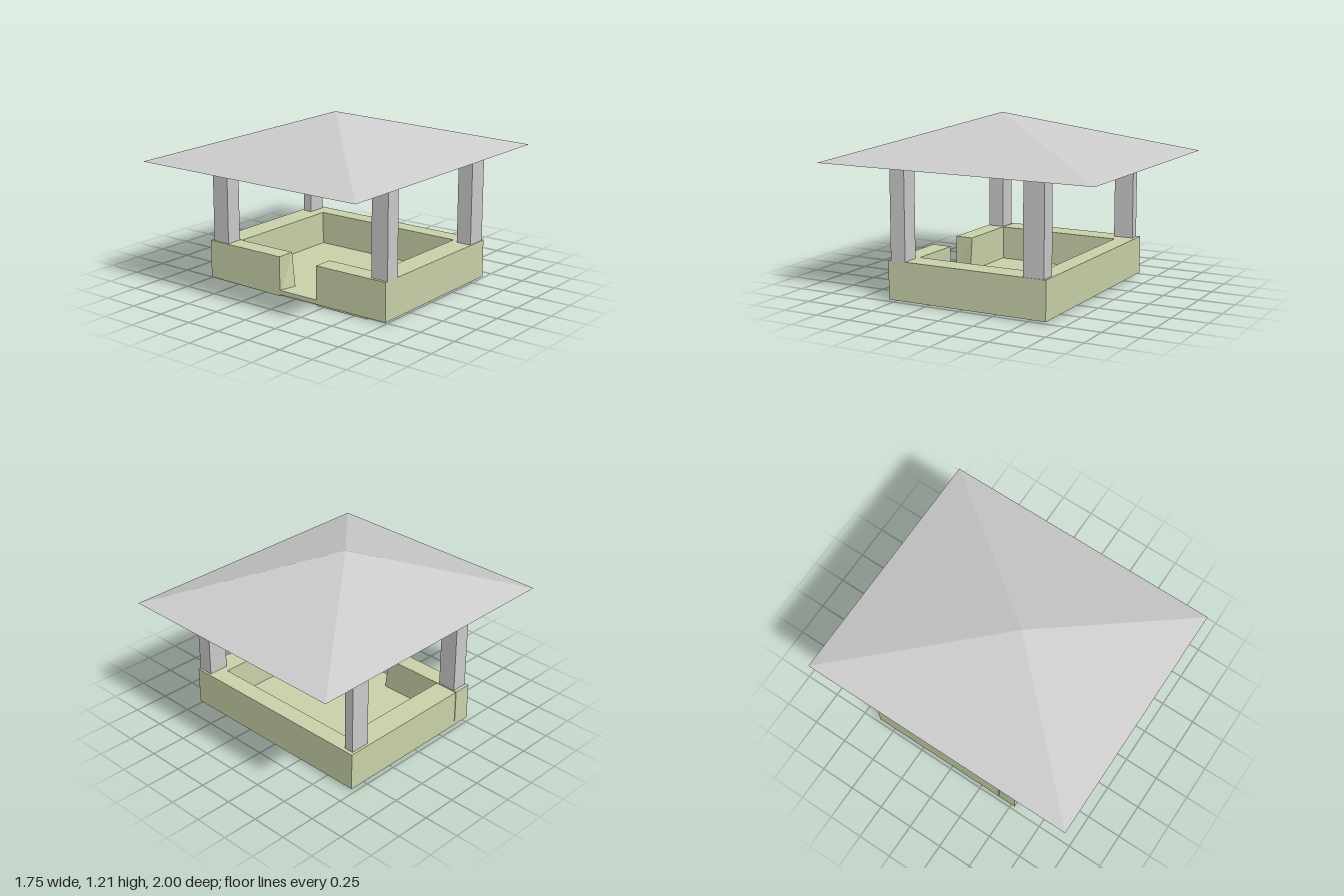
import * as THREE from 'three';

export function createModel() {
  const model = new THREE.Group();
  const grey = new THREE.MeshStandardMaterial({ color: 0xcccccc, flatShading: true });
  const green = new THREE.MeshStandardMaterial({ color: 0xc9d2a9, flatShading: true });

  const add = (name, geometry, material) => {
    const mesh = new THREE.Mesh(geometry, material);
    mesh.name = name;
    model.add(mesh);
    return mesh;
  };
  // Box given by its limits on each axis
  const block = (name, [x0, x1], [y0, y1], [z0, z1], material) => {
    const g = new THREE.BoxGeometry(x1 - x0, y1 - y0, z1 - z0);
    g.translate((x0 + x1) / 2, (y0 + y1) / 2, (z0 + z1) / 2);
    return add(name, g, material);
  };

  // Outer and inner limits of the low wall
  const L = -0.73, R = 0.755, B = -0.625, F = 0.53;
  const wallY = [0.015, 0.28];

  // Floor slab and three full walls
  block('floor', [L, R], [0.015, 0.045], [B, F - 0.002], green);
  block('backWall', [L, R], wallY, [B, -0.5], green);
  block('leftWall', [L, -0.56], wallY, [-0.5, 0.395], green);
  block('rightWall', [0.59, R], wallY, [-0.5, 0.395], green);

  // Front wall in two pieces, leaving the entrance open
  block('frontWallRight', [0.2, R], wallY, [0.39, F], green);
  const leftFront = block('frontWallLeft', [L, -0.11], wallY, [0.4, F], green);
  // The entrance end dips at its foot and leans out on the inner side
  const p = leftFront.geometry.attributes.position;
  for (let i = 0; i < p.count; i++) {
    if (p.getX(i) > -0.2 && p.getY(i) < 0.1) {
      p.setY(i, 0.005);
      if (p.getZ(i) < 0.45) p.setX(i, -0.08);
    }
  }
  leftFront.geometry.computeVertexNormals();

  // Shallow footing under the front wall
  block('footing', [0.2, 0.605], [0, 0.02], [0.39, 0.52], green);

  // Four corner posts of slightly uneven section
  const postY = [0.275, 0.91];
  block('frontLeftPost', [-0.705, -0.575], postY, [0.405, 0.52], grey);
  block('frontRightPost', [0.63, 0.755], postY, [0.4, 0.51], grey);
  block('backLeftPost', [-0.712, -0.645], postY, [-0.6, -0.46], grey);
  block('backRightPost', [0.64, 0.75], postY, [-0.61, -0.465], grey);

  // Hipped roof: a four-sided cone fitted to the eaves, apex set off centre
  const roof = new THREE.ConeGeometry(Math.SQRT2, 0.3, 4, 1).toNonIndexed();
  roof.rotateY(Math.PI / 4);
  roof.scale(0.873, 1, 1);
  roof.translate(0, 1.055, 0);
  const rp = roof.attributes.position;
  for (let i = 0; i < rp.count; i++) {
    if (rp.getY(i) > 1.1) rp.setXYZ(i, 0.015, 1.205, 0.085);
  }
  roof.computeVertexNormals();
  add('roof', roof, grey);

  return model;
}
